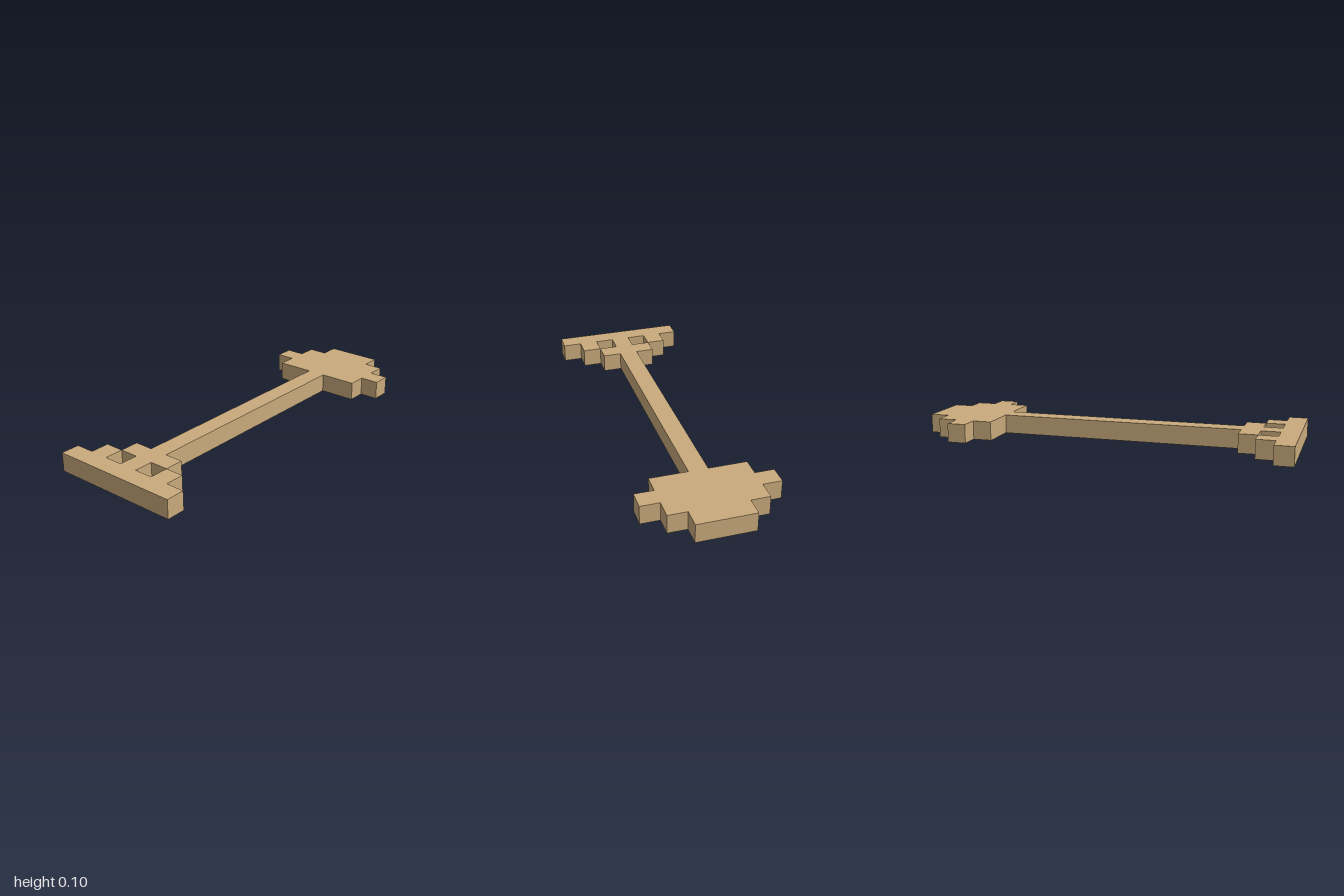
import * as THREE from 'three';

const THICKNESS = 0.1;

// Mirrors a half outline across the long axis and extrudes it upward from y = 0.
function slab(name, half, material) {
  const mirrored = half.map(([x, z]) => [x, -z]).reverse();
  const outline = [...half, ...mirrored].map(([x, z]) => new THREE.Vector2(x, z));
  const geometry = new THREE.ExtrudeGeometry(new THREE.Shape(outline), {
    depth: THICKNESS,
    bevelEnabled: false,
  });
  geometry.rotateX(-Math.PI / 2);
  const mesh = new THREE.Mesh(geometry, material);
  mesh.name = name;
  return mesh;
}

export function createModel() {
  const wood = new THREE.MeshStandardMaterial({ color: 0xc9aa7c });
  wood.name = 'lightWood';

  const model = new THREE.Group();
  model.name = 'arrow';

  // Tail bar with a stepped barb on each side
  model.add(slab('fletching', [
    [-1, 0.35], [-0.9, 0.35], [-0.9, 0.25], [-0.8, 0.25], [-0.8, 0.15], [-0.9, 0.15],
  ], wood));

  // Long shaft with a cross-shaped collar that closes the two tail openings
  model.add(slab('shaft', [
    [-0.9, 0.05], [-0.8, 0.05], [-0.8, 0.15], [-0.7, 0.15], [-0.7, 0.05], [0.6, 0.05],
  ], wood));

  // Stepped head
  model.add(slab('arrowhead', [
    [0.6, 0.25], [0.7, 0.25], [0.7, 0.35], [0.8, 0.35],
    [0.8, 0.25], [0.9, 0.25], [0.9, 0.15], [1, 0.15],
  ], wood));

  return model;
}
